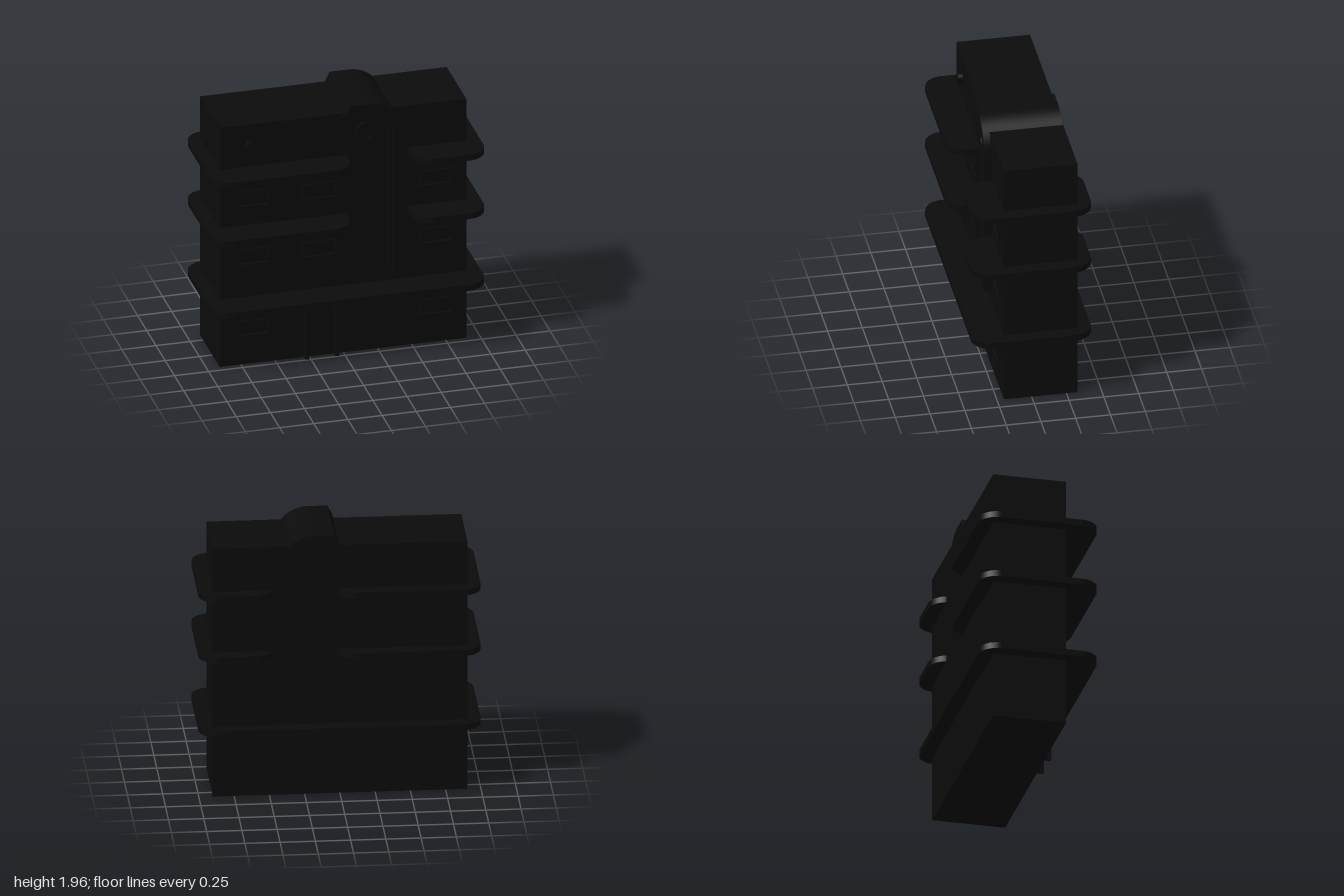
import * as THREE from 'three';

const black = new THREE.MeshStandardMaterial({ color: 0x0b0b0b });
black.name = 'black';

const FRONT = 0.2, BACK = -0.33;

export function createModel() {
  const model = new THREE.Group();

  const add = (name, geometry, parent = model) => {
    const mesh = new THREE.Mesh(geometry, black);
    mesh.name = name;
    parent.add(mesh);
    return mesh;
  };

  // box given by its limits on each axis
  const block = (name, x0, x1, y0, y1, z0, z1, parent) =>
    add(name, new THREE.BoxGeometry(x1 - x0, y1 - y0, z1 - z0), parent)
      .position.set((x0 + x1) / 2, (y0 + y1) / 2, (z0 + z1) / 2);

  const extrude = (name, shape, z0, z1, parent) => {
    const g = new THREE.ExtrudeGeometry(shape, { depth: z1 - z0, bevelEnabled: false, curveSegments: 20 });
    const mesh = add(name, g, parent);
    mesh.position.z = z0;
    return mesh;
  };

  // main building
  block('building', -0.905, 0.9, 0, 1.88, BACK, FRONT);

  // ledges with rounded corners wrapping around the building
  const ledge = (x0, x1, y) => {
    const r = 0.14, z = 0.43, s = new THREE.Shape();
    s.moveTo(x0 + r, -z);
    s.absarc(x1 - r, -z + r, r, -Math.PI / 2, 0);
    s.absarc(x1 - r, z - r, r, 0, Math.PI / 2);
    s.absarc(x0 + r, z - r, r, Math.PI / 2, Math.PI);
    s.absarc(x0 + r, -z + r, r, Math.PI, Math.PI * 1.5);
    const g = new THREE.ExtrudeGeometry(s, { depth: 0.045, bevelEnabled: false, curveSegments: 10 });
    g.rotateX(-Math.PI / 2);
    add('ledge', g).position.y = y - 0.0225;
  };
  ledge(-1, 1, 0.508);
  for (const y of [1.07, 1.53]) {
    ledge(-1, 0.02, y);
    ledge(0.47, 1, y);
  }

  // roof hump with a slanted left side and a rounded right side
  const cx = 0.18, cy = 1.715, R = 0.24;
  const hump = new THREE.Shape();
  hump.moveTo(0, 1.87);
  hump.lineTo(0.365, 1.87);
  hump.absarc(cx, cy, R, Math.asin(0.155 / R), Math.PI / 2);
  hump.lineTo(0.04, cy + R);
  extrude('roofHump', hump, BACK + 0.005, FRONT);

  // hooked band that arches over and runs down the facade
  const hook = (name, outer, inner, z) => {
    const s = new THREE.Shape(), foot = 0.61;
    s.moveTo(cx + inner, foot);
    s.lineTo(cx + outer, foot);
    s.absarc(cx, cy, outer, 0, Math.PI / 2);
    s.lineTo(0.04 - (R - outer) * 0.5, cy + outer);
    s.lineTo(0.04 - (R - inner) * 0.5, cy + inner);
    s.absarc(cx, cy, inner, Math.PI / 2, 0, true);
    extrude(name, s, FRONT - 0.01, z);
  };
  hook('archBand', R, 0.17, 0.25);
  hook('innerArchBand', 0.17, 0.14, 0.225);

  // round window under the arch
  const porthole = new THREE.Group();
  porthole.name = 'roundWindow';
  model.add(porthole);
  const ring = new THREE.Shape().absarc(0.165, 1.72, 0.08, 0, Math.PI * 2);
  ring.holes.push(new THREE.Path().absarc(0.165, 1.72, 0.058, 0, Math.PI * 2, true));
  extrude('roundWindowFrame', ring, FRONT - 0.01, 0.22, porthole);
  extrude('roundWindowGlass', new THREE.Shape().absarc(0.165, 1.72, 0.058, 0, Math.PI * 2),
    FRONT - 0.003, FRONT + 0.004, porthole);

  // small round ornament on the upper left wall
  const knob = add('wallOrnament', new THREE.CylinderGeometry(0.033, 0.033, 0.04, 20));
  knob.rotation.x = Math.PI / 2;
  knob.position.set(-0.685, 1.72, 0.215);

  // windows: raised frame with a cross of glazing bars
  const windowAt = (x, y) => {
    const g = new THREE.Group();
    g.name = 'window';
    model.add(g);
    const w = 0.13, h = 0.12, t = 0.02, z0 = FRONT - 0.01, z1 = 0.222;
    for (const s of [-1, 1]) {
      const fx = x + s * (w - t / 2), fy = y + s * (h - t / 2);
      block('windowJamb', fx - t / 2, fx + t / 2, y - h, y + h, z0, z1, g);
      block('windowRail', x - w + t, x + w - t, fy - t / 2, fy + t / 2, z0, z1, g);
    }
    block('verticalBar', x - 0.009, x + 0.009, y - h + t, y + h - t, z0, 0.215, g);
    block('horizontalBar', x - w + t, x + w - t, y - 0.009, y + 0.009, z0, 0.215, g);
  };
  for (const y of [0.335, 0.895, 1.35]) {
    for (const x of [-0.665, -0.175, 0.68]) {
      if (y < 0.5 && x === -0.175) continue; // the door takes this place
      windowAt(x, y);
    }
  }

  // door with a projecting frame
  const door = new THREE.Group();
  door.name = 'door';
  model.add(door);
  block('doorJamb', -0.29, -0.26, 0, 0.45, FRONT - 0.01, 0.245, door);
  block('doorJamb', -0.07, -0.04, 0, 0.45, FRONT - 0.01, 0.245, door);
  block('doorLintel', -0.26, -0.07, 0.42, 0.45, FRONT - 0.01, 0.245, door);
  block('doorLeaf', -0.26, -0.07, 0.005, 0.42, FRONT - 0.003, FRONT + 0.004, door);

  return model;
}
